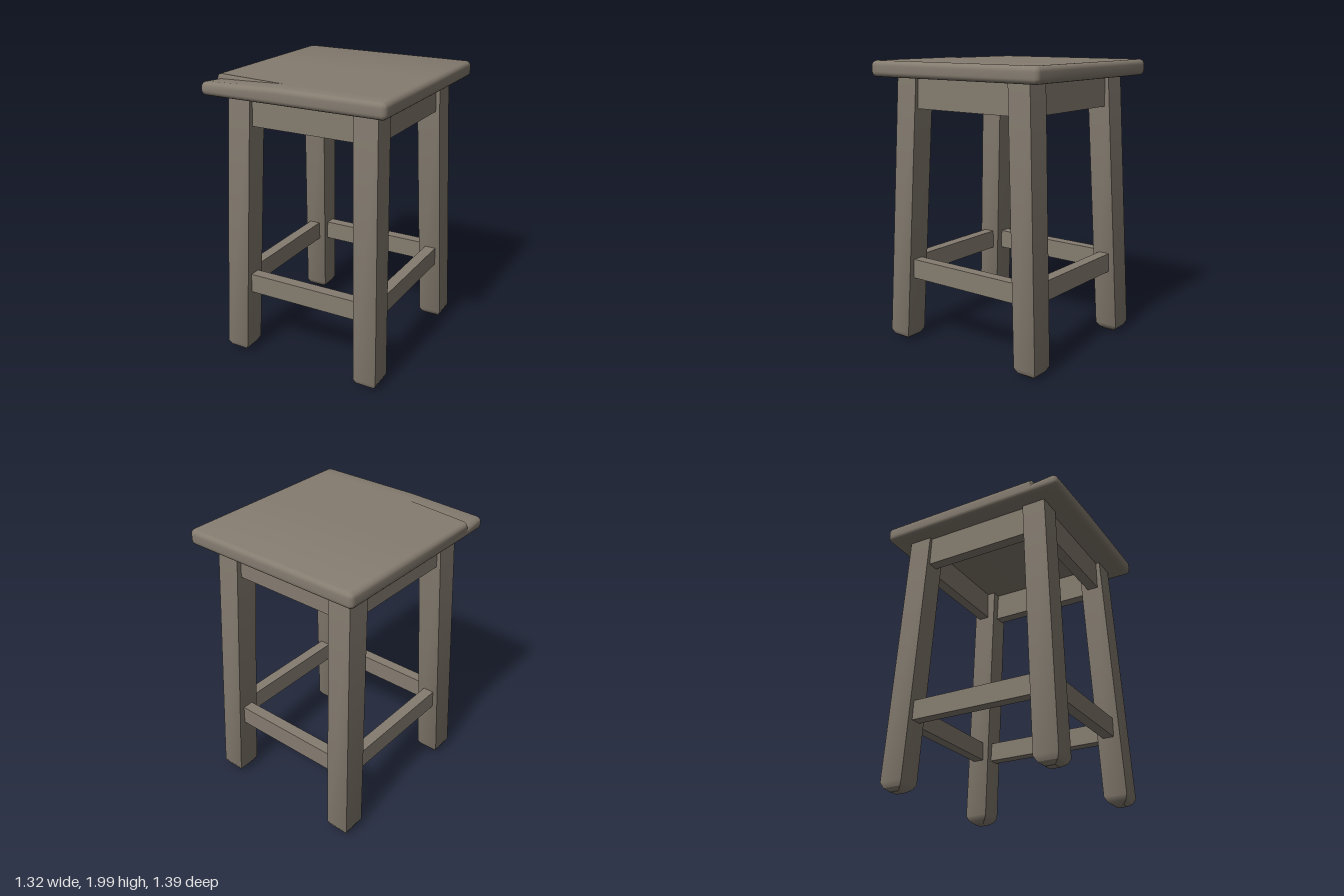
import * as THREE from 'three';
import { toCreasedNormals } from 'three/addons/utils/BufferGeometryUtils.js';

const wood = new THREE.MeshStandardMaterial({ color: 0x857c70 });
wood.name = 'weathered wood';

const clamp = THREE.MathUtils.clamp;

function addMesh(parent, name, geometry) {
  const mesh = new THREE.Mesh(geometry, wood);
  mesh.name = name;
  parent.add(mesh);
  return mesh;
}

// Grid coordinates along one axis, dense at both rounded ends
function axisStops(half, radius, inner = []) {
  const arc = [0, 15, 30, 45].map(a => half - radius + radius * Math.tan(a * Math.PI / 180));
  return [...arc.map(v => -v).reverse(), ...inner, ...arc];
}

// Rounded seat slab with a worn, chipped wedge at its front corner
function seatGeometry() {
  const half = [0.66, 0.055, 0.695], r = 0.035;
  const xs = axisStops(half[0], r, [-0.4, -0.11, 0.25]);
  const ys = axisStops(half[1], r);
  const zs = axisStops(half[2], r, [0, 0.565, 0.572]);
  const stops = [xs, ys, zs];
  const crackRow = zs.indexOf(0.565);
  const g = new THREE.BoxGeometry(1, 1, 1, xs.length - 1, ys.length - 1, zs.length - 1);
  const pos = g.attributes.position;
  const p = new THREE.Vector3(), core = new THREE.Vector3();
  for (let i = 0; i < pos.count; i++) {
    p.fromBufferAttribute(pos, i);
    const row = Math.round((p.z + 0.5) * (zs.length - 1));
    for (let a = 0; a < 3; a++) {
      const list = stops[a];
      const v = list[Math.round((p.getComponent(a) + 0.5) * (list.length - 1))];
      p.setComponent(a, v);
      core.setComponent(a, clamp(v, r - half[a], half[a] - r));
    }
    p.sub(core).setLength(r).add(core);
    // the chip deepens toward the -x edge
    const t = clamp((-0.11 - p.x) / 0.55, 0, 1);
    if (row === crackRow || row === crackRow + 1) p.z -= 0.065 * t;
    if (row > crackRow && p.y > 0) p.y -= (row > crackRow + 1 ? 0.022 : 0.035) * t;
    pos.setXYZ(i, p.x, p.y, p.z);
  }
  return toCreasedNormals(g, 0.6);
}

// Splayed square leg with a worn foot
function legGeometry(sx, sz) {
  const rings = [[0.008, 0.05], [0.03, 0.018], [0.065, 0], [1.9, 0]]; // height, inset
  const g = new THREE.BoxGeometry(2, 1, 2, 1, rings.length - 1, 1);
  const pos = g.attributes.position;
  for (let i = 0; i < pos.count; i++) {
    const [y, inset] = rings[Math.round((pos.getY(i) + 0.5) * (rings.length - 1))];
    const k = y / 1.89, h = 0.084 - inset;
    pos.setXYZ(i,
      sx * (0.515 - 0.055 * k) + pos.getX(i) * h,
      y,
      sz * (0.56 - 0.09 * k) + pos.getZ(i) * h);
  }
  return toCreasedNormals(g, 0.5);
}

export function createModel() {
  const model = new THREE.Group();
  model.name = 'stool';

  addMesh(model, 'seat', seatGeometry()).position.y = 1.945;

  const frame = new THREE.Group();
  frame.name = 'frame';
  frame.position.z = -0.006;
  model.add(frame);

  for (const sx of [1, -1]) {
    for (const sz of [1, -1]) {
      const name = (sz > 0 ? 'front' : 'back') + (sx > 0 ? 'Left' : 'Right') + 'Leg';
      addMesh(frame, name, legGeometry(sx, sz));
    }
  }

  // Aprons under the seat and stretchers near the floor
  const rails = [
    { name: 'Apron', y: 1.785, height: 0.21, x: 0.48, z: 0.487 },
    { name: 'Stretcher', y: 0.547, height: 0.137, x: 0.505, z: 0.535 },
  ];
  for (const { name, y, height, x, z } of rails) {
    for (const s of [1, -1]) {
      addMesh(frame, (s > 0 ? 'front' : 'back') + name,
        new THREE.BoxGeometry(0.92, height, 0.08)).position.set(0, y, s * z);
      addMesh(frame, (s > 0 ? 'left' : 'right') + name,
        new THREE.BoxGeometry(0.08, height, 0.94)).position.set(s * x, y, 0);
    }
  }
  return model;
}
